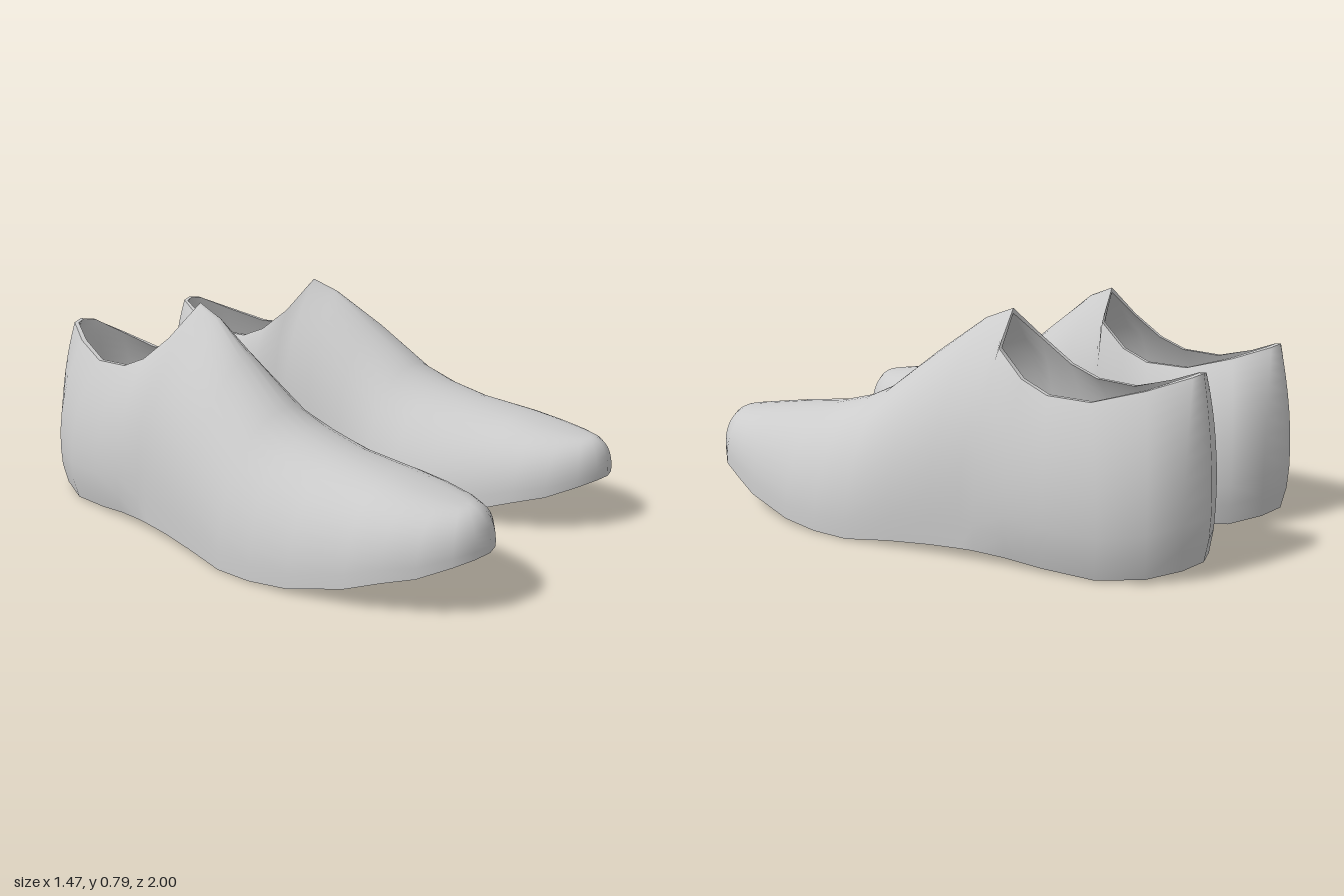
import * as THREE from 'three';
import { mergeVertices } from 'three/addons/utils/BufferGeometryUtils.js';

const { lerp, smoothstep, clamp } = THREE.MathUtils;

// Closed forefoot: sole z, outer x, inner x, sole y, then crest z, x, y
const FRONT = [
  [1, 0.432, 0.432, 0.182, 0.91, 0.43, 0.317],
  [0.985, 0.5, 0.37, 0.178, 0.905, 0.43, 0.318],
  [0.945, 0.56, 0.3, 0.163, 0.895, 0.43, 0.32],
  [0.86, 0.628, 0.222, 0.128, 0.85, 0.43, 0.328],
  [0.76, 0.665, 0.172, 0.1, 0.76, 0.43, 0.343],
  [0.65, 0.697, 0.14, 0.062, 0.65, 0.425, 0.362],
  [0.45, 0.725, 0.085, 0.015, 0.45, 0.415, 0.39],
  [0.3, 0.735, 0.07, 0.003, 0.3, 0.4, 0.43],
  [0.16, 0.725, 0.09, 0, 0.19, 0.39, 0.482],
  [0, 0.692, 0.13, 0.018, 0, 0.37, 0.627],
  [-0.15, 0.657, 0.13, 0.026, -0.16, 0.34, 0.745],
  [-0.26, 0.637, 0.122, 0.03, -0.26, 0.325, 0.783],
];
// Open rear: sole z, outer x, inner x, sole y, then rim z, outer x, inner x, y
const REAR = [
  [-0.31, 0.627, 0.118, 0.03, -0.295, 0.458, 0.19, 0.67],
  [-0.42, 0.605, 0.112, 0.023, -0.4, 0.483, 0.164, 0.585],
  [-0.55, 0.585, 0.08, 0.01, -0.5, 0.487, 0.158, 0.545],
  [-0.72, 0.552, 0.062, 0, -0.65, 0.473, 0.17, 0.54],
  [-0.86, 0.485, 0.11, 0.012, -0.81, 0.415, 0.2, 0.585],
  [-0.945, 0.4, 0.205, 0.032, -0.93, 0.345, 0.25, 0.63],
  [-0.975, 0.31, 0.31, 0.04, -0.945, 0.3, 0.3, 0.637],
];
const STATIONS = [...FRONT.map(([z, o, i, y, tz, tx, ty]) => [z, o, i, y, tz, tx, tx, ty]), ...REAR];
const ROWS = 12;
const THICKNESS = 0.018;

// Columns run around the shoe: toe, outer side, heel, inner side
function columnEnds() {
  const outer = ([z, x, , y, tz, tx, , ty]) => ({
    sole: new THREE.Vector3(x, y, z), top: new THREE.Vector3(tx, ty, tz), power: 2.8,
  });
  const inner = ([z, , x, y, tz, , tx, ty]) => ({
    sole: new THREE.Vector3(x, y, z), top: new THREE.Vector3(tx, ty, tz), power: 3.4,
  });
  return [...STATIONS.map(outer), ...STATIONS.slice(1, -1).reverse().map(inner)];
}

// Rounded arch at the front, pointed at the peak, bulging upright wall at the rear
function wallPoint({ sole, top, power }, row) {
  const phi = (row / ROWS) * Math.PI / 2;
  const full = lerp(1, 0.85, smoothstep(top.z, 0.4, 0.8));
  const v = Math.sin(phi) ** full;
  const lean = 1 - smoothstep(top.z, -0.26, 0.15);
  const rear = 1 - smoothstep(top.z, -0.45, -0.26);
  const u = lerp(Math.max(Math.cos(phi), 0) ** full, 1 - v ** power, lean);
  const out = new THREE.Vector3(sole.x - top.x, 0, sole.z - top.z);
  const p = top.clone().addScaledVector(out, u);
  p.y = lerp(sole.y, top.y, v);
  return p.addScaledVector(out.normalize(), 0.024 * rear * Math.sin(Math.PI * v ** 0.65));
}

// Moves a wall point towards the middle of the foot
function insetPoint(p, row) {
  const z = clamp(p.z, -0.75, 0.75);
  const axis = new THREE.Vector3(0.34 + 0.09 * z, p.z < -0.27 ? p.y : Math.min(p.y, 0.2), z);
  const q = p.clone().addScaledVector(axis.sub(p).normalize(), THICKNESS);
  q.y += THICKNESS * (1 - Math.sin((row / ROWS) * Math.PI / 2));
  return q;
}

// Outer edge, middle line and inner edge of a bottom loop, toe to heel, with a toe belly
function bottomRows(loop) {
  const n = STATIONS.length;
  const outer = loop.slice(0, n);
  const inner = [...loop.slice(n - 1), loop[0]].reverse();
  const middle = outer.map((p, i) => {
    const m = p.clone().lerp(inner[i], 0.5);
    m.y -= 0.04 * p.distanceTo(inner[i]) * smoothstep(p.z, 0.2, 0.6);
    return m;
  });
  return [outer, middle, inner];
}

// Skins rows of points; mirror is 1 or -1 in x
function surface(name, rows, mirror, { flip = false, closed = false, material }) {
  const n = rows[0].length;
  const positions = rows.flat().flatMap((p) => [p.x * mirror, p.y, p.z]);
  const index = [];
  for (let j = 0; j < rows.length - 1; j++) {
    for (let i = 0; i < (closed ? n : n - 1); i++) {
      const k = (i + 1) % n;
      const [a, b, c, d] = [j * n + i, j * n + k, (j + 1) * n + k, (j + 1) * n + i];
      if (flip !== (mirror < 0)) index.push(a, c, b, a, d, c);
      else index.push(a, b, c, a, c, d);
    }
  }
  let geometry = new THREE.BufferGeometry();
  geometry.setAttribute('position', new THREE.Float32BufferAttribute(positions, 3));
  geometry.setIndex(index);
  geometry = mergeVertices(geometry, 1e-4);
  geometry.computeVertexNormals();
  const mesh = new THREE.Mesh(geometry, material);
  mesh.name = name;
  return mesh;
}

function createShoe(name, mirror, material) {
  const ends = columnEnds();
  const outer = [], inner = [];
  for (let j = 0; j <= ROWS; j++) {
    outer.push(ends.map((e) => wallPoint(e, j)));
    inner.push(outer[j].map((p) => insetPoint(p, j)));
  }
  const peak = FRONT.length - 1;
  const rim = [outer[ROWS], inner[ROWS]].map((r) => r.slice(peak, r.length - peak + 1));

  const shoe = new THREE.Group();
  shoe.name = name;
  shoe.add(
    surface('upper', outer, mirror, { closed: true, material }),
    surface('sole', bottomRows(outer[0]), mirror, { flip: true, material }),
    surface('lining', inner, mirror, { flip: true, closed: true, material }),
    surface('insole', bottomRows(inner[0]), mirror, { material }),
    surface('rim', rim, mirror, { material }),
  );
  return shoe;
}

export function createModel() {
  const material = new THREE.MeshStandardMaterial({ color: 0xcccccc });
  const group = new THREE.Group();
  group.name = 'pairOfShoes';
  const leftShoe = createShoe('leftShoe', 1, material);
  // The right shoe is turned slightly, heel outwards
  const rightShoe = createShoe('rightShoe', -1, material);
  rightShoe.rotation.y = 0.015;
  rightShoe.position.set(-0.009, 0, -0.006);
  group.add(leftShoe, rightShoe);
  return group;
}
